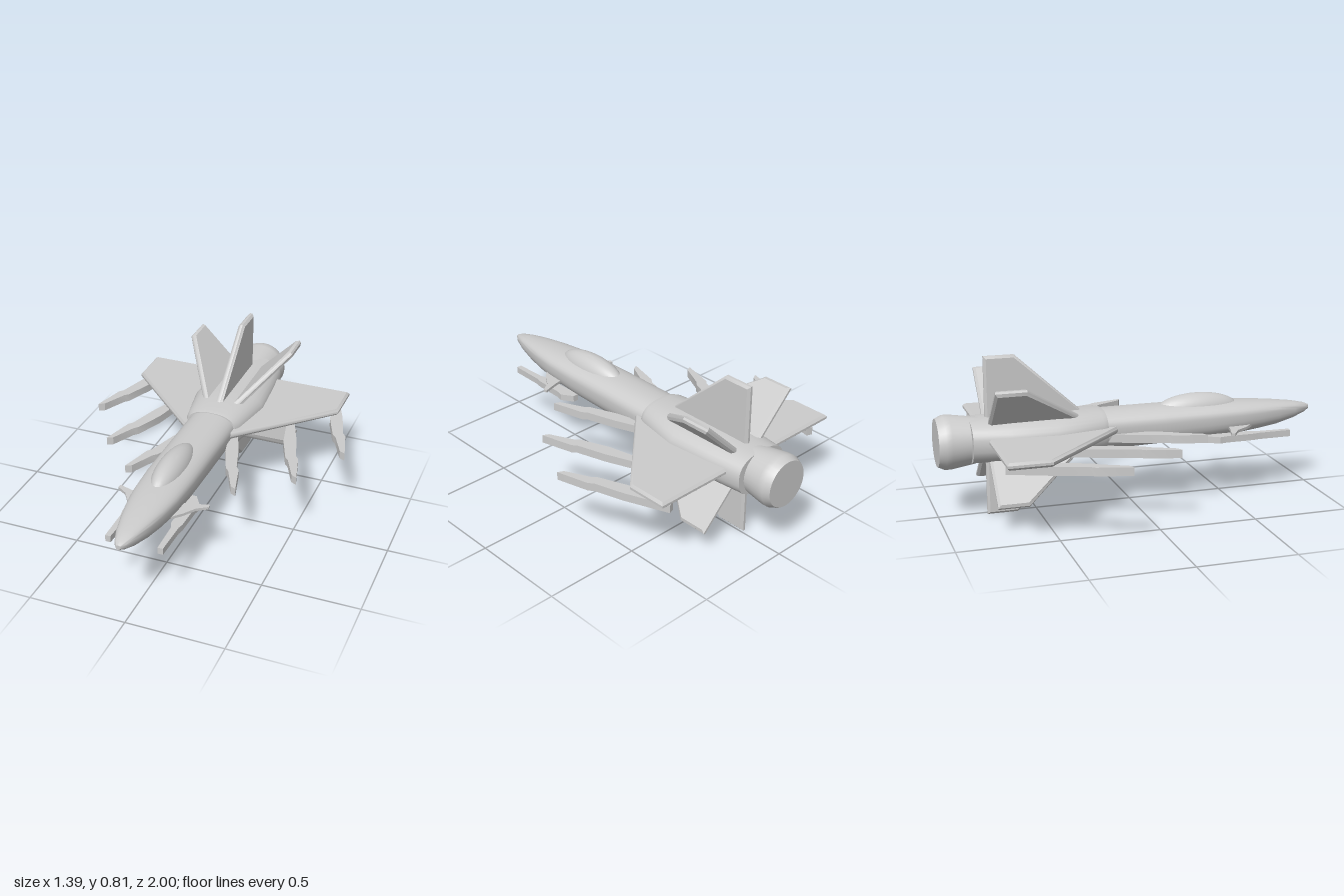
import * as THREE from 'three';
import { toCreasedNormals } from 'three/addons/utils/BufferGeometryUtils.js';

const CX = -0.02; // centreline of the craft
const AXIS_Y = 0.405; // hub height of fins and engine
const material = new THREE.MeshStandardMaterial({ color: 0xcccccc });

function part(name, geometry, parent) {
  const mesh = new THREE.Mesh(toCreasedNormals(geometry, 0.6), material);
  mesh.name = name;
  parent.add(mesh);
  return mesh;
}

// Skin over cross-sections [z, halfWidth, yTop, yMid, yBottom], listed nose to tail
function loft(sections, topPower, bottomPower, sides = 32) {
  const pos = [], index = [], n = sections.length;
  for (const [z, w, top, mid, bottom] of sections) {
    for (let j = 0; j < sides; j++) {
      const a = (j / sides) * Math.PI * 2, c = Math.cos(a), s = Math.sin(a);
      const p = s >= 0 ? topPower : bottomPower;
      const h = s >= 0 ? top - mid : mid - bottom;
      pos.push(CX + w * Math.sign(c) * Math.abs(c) ** p, mid + h * Math.sign(s) * Math.abs(s) ** p, z);
    }
  }
  for (let i = 0; i < n - 1; i++) {
    for (let j = 0; j < sides; j++) {
      const k = (j + 1) % sides;
      const a = i * sides + j, b = i * sides + k, c = a + sides, d = b + sides;
      index.push(a, c, b, b, c, d);
    }
  }
  // End caps
  for (const i of [0, n - 1]) {
    const centre = pos.length / 3;
    pos.push(CX, sections[i][3], sections[i][0]);
    for (let j = 0; j < sides; j++) {
      const a = i * sides + j, b = i * sides + (j + 1) % sides;
      if (i === 0) index.push(centre, a, b);
      else index.push(centre, b, a);
    }
  }
  const g = new THREE.BufferGeometry();
  g.setAttribute('position', new THREE.Float32BufferAttribute(pos, 3));
  g.setIndex(index);
  return g;
}

// Bevelled plate from an outline, centred on its thickness
function plate(points, thickness, bevel) {
  const shape = new THREE.Shape(points.map(([x, y]) => new THREE.Vector2(x, y)));
  const g = new THREE.ExtrudeGeometry(shape, {
    depth: thickness - 2 * bevel, bevelEnabled: bevel > 0, bevelSize: bevel,
    bevelThickness: bevel, bevelOffset: -bevel, bevelSegments: 1,
  });
  return g.translate(0, 0, -(thickness - 2 * bevel) / 2);
}

// Plate outlined in (z, radius), turned about the long axis
function radialPlate(points, thickness, angle, y) {
  return plate(points, thickness, 0.012).rotateY(-Math.PI / 2).rotateZ(angle).translate(CX, y, 0);
}

// Flat plate outlined in (x, z)
function flatPlate(points, side, thickness, x, y, z, bevel = 0) {
  return plate(points.map(([px, pz]) => [px * side, pz]), thickness, bevel)
    .rotateX(Math.PI / 2).translate(x, y, z);
}

export function createModel() {
  const model = new THREE.Group();
  model.name = 'starfighter';

  // Fuselage with tapered nose
  part('fuselage', loft([
    [0.995, 0.012, 0.435, 0.425, 0.412],
    [0.97, 0.03, 0.446, 0.427, 0.398],
    [0.9, 0.055, 0.46, 0.43, 0.372],
    [0.8, 0.08, 0.472, 0.432, 0.348],
    [0.7, 0.1, 0.482, 0.432, 0.335],
    [0.58, 0.117, 0.489, 0.432, 0.322],
    [0.4, 0.126, 0.496, 0.43, 0.31],
    [0.15, 0.126, 0.5, 0.425, 0.302],
    [-0.2, 0.126, 0.5, 0.42, 0.295],
  ], 0.9, 0.75), model);

  // Cockpit bubble
  part('canopy', new THREE.SphereGeometry(1, 32, 20)
    .scale(0.075, 0.085, 0.225).translate(CX, 0.46, 0.36), model);

  // Thicker engine housing behind the fuselage
  part('engineHousing', loft([
    [-0.155, 0.135, 0.503, 0.41, 0.294],
    [-0.18, 0.15, 0.508, 0.41, 0.292],
    [-0.42, 0.197, 0.508, 0.405, 0.29],
    [-0.65, 0.18, 0.508, 0.4, 0.29],
    [-0.84, 0.155, 0.505, 0.4, 0.288],
  ], 0.8, 0.75), model);

  // Flared exhaust
  const nozzle = [[0, -0.2], [0.112, -0.2], [0.114, -0.06], [0.136, 0.08], [0.136, 0.11], [0.12, 0.145], [0, 0.145]];
  part('exhaustNozzle', new THREE.LatheGeometry(nozzle.map(([r, h]) => new THREE.Vector2(r, h)), 32)
    .rotateX(-Math.PI / 2).translate(CX, 0.392, -0.855), model);

  // Six radial tail fins
  const finOutline = [[-0.2, 0.04], [-0.6, 0.405], [-0.755, 0.405], [-0.755, 0.04]];
  for (const step of [-1, 0, 1, 3, 4, 5]) {
    part('tailFin', radialPlate(finOutline, 0.036, step * Math.PI / 4, AXIS_Y), model);
  }

  // Delta wings
  const wingOutline = [[-0.02, 0.04], [-0.55, 0.577], [-0.765, 0.577], [-0.765, 0.04]];
  for (const side of [1, -1]) {
    part(side > 0 ? 'leftWing' : 'rightWing',
      radialPlate(wingOutline, 0.036, -side * Math.PI / 2, 0.416), model);
  }

  // Splayed guns under the wings, outlined from the tip backwards
  const gunOutline = [
    [0, 0], [-0.03, -0.015], [-0.09, -0.14], [-0.11, -0.16], [-0.17, -0.31],
    [-0.225, -0.55], [-0.195, -0.56], [-0.11, -0.345], [-0.063, -0.19], [-0.045, -0.17],
  ];
  const gunTips = {
    1: [[0.695, -0.195], [0.535, 0.11], [0.29, 0.315]],
    '-1': [[-0.695, -0.195], [-0.5, 0.11], [-0.298, 0.32]],
  };
  for (const side of [1, -1]) {
    for (const [x, z] of gunTips[side]) {
      part('wingGun', flatPlate(gunOutline, side, 0.042, x, 0.374, z), model);
    }
  }

  // Nose guns and small canards
  const noseGunOutline = [
    [0.12, 0.83], [0.147, 0.83], [0.15, 0.65], [0.157, 0.62], [0.16, 0.47],
    [0.168, 0.43], [0.13, 0.37], [0.1, 0.37], [0.1, 0.62], [0.115, 0.66],
  ];
  const canardOutline = [[0.1, 0.63], [0.145, 0.58], [0.185, 0.52], [0.238, 0.485], [0.235, 0.465], [0.15, 0.49], [0.1, 0.5]];
  for (const side of [1, -1]) {
    part('noseGun', flatPlate(noseGunOutline, side, 0.034, CX, 0.326, 0), model);
    part('canard', flatPlate(canardOutline, side, 0.014, CX, 0.372, 0), model);
  }

  return model;
}
